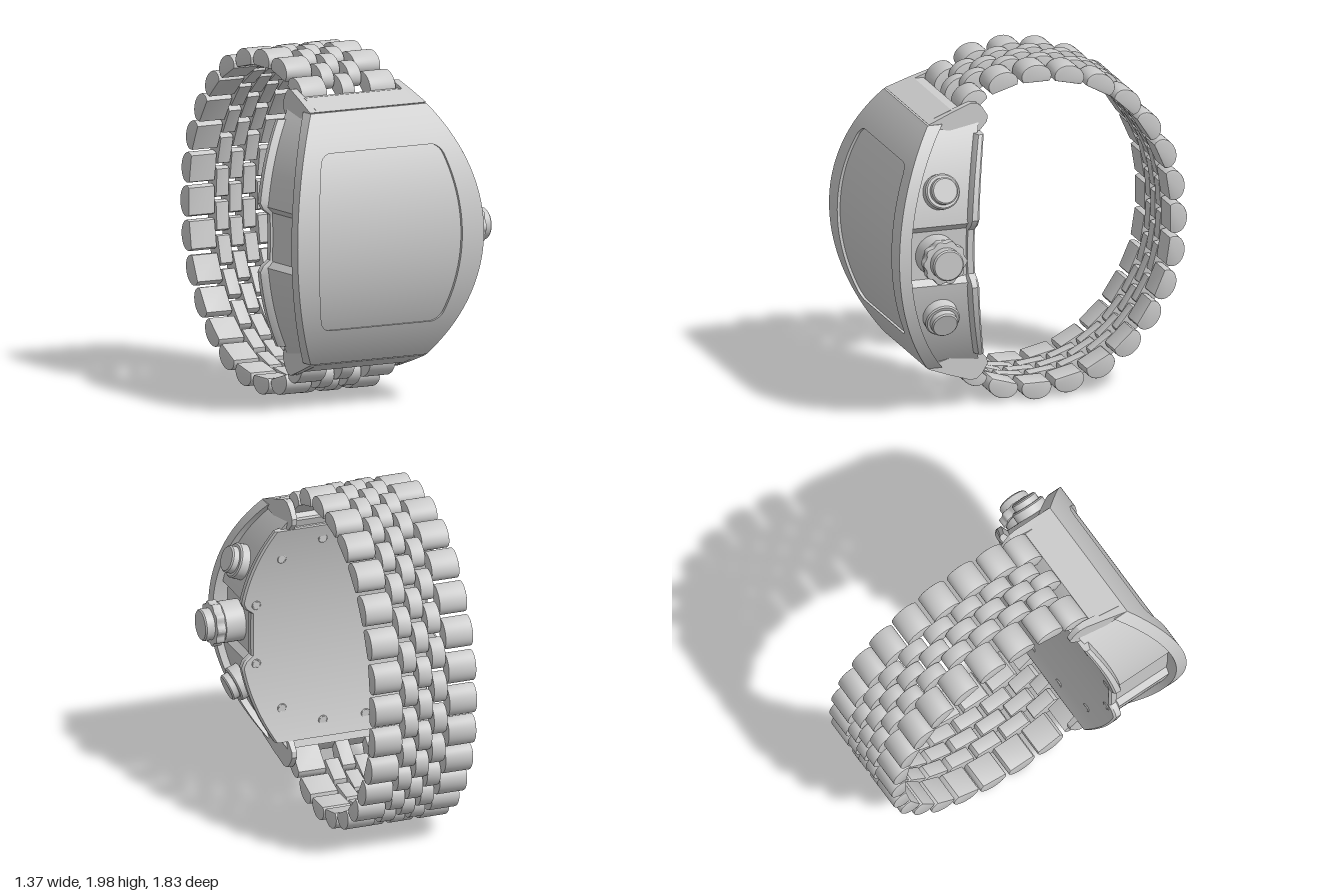
import * as THREE from 'three';
import { toCreasedNormals } from 'three/addons/utils/BufferGeometryUtils.js';

const material = new THREE.MeshStandardMaterial({ color: 0xcccccc, side: THREE.DoubleSide });

// Drop of a circular arc of radius r at distance d from its crown.
const sag = (r, d) => r - Math.sqrt(r * r - d * d);
const halfWidth = d => 0.612 - sag(1.233, d);
const frontZ = d => 0.915 - sag(1.17, d);
const bezelBackZ = d => 0.845 - sag(1.11, d);
const flangeZ = d => 0.495 - sag(2.06, d);
const backZ = d => 0.437 - sag(2.3, d);
// Flat pocket in the case side, around the crown
const notch = (d, inset, depth) => {
  const flat = halfWidth(0) - inset - depth;
  const t = THREE.MathUtils.clamp((Math.abs(d) - 0.14) / 0.035, 0, 1);
  return THREE.MathUtils.lerp(flat, halfWidth(d) - inset, t);
};

function part(parent, name, geometry, crease = 0.5) {
  const mesh = new THREE.Mesh(crease ? toCreasedNormals(geometry, crease) : geometry, material);
  mesh.name = name;
  parent.add(mesh);
  return mesh;
}

// Skin closed x/z sections stacked along y, with fan caps.
function loft(rows, section) {
  const pos = [], index = [];
  const n = section(rows[0]).length;
  rows.forEach(r => section(r).forEach(([x, z]) => pos.push(x, r.y ?? r, z)));
  for (let j = 0; j < rows.length - 1; j++) {
    for (let i = 0; i < n; i++) {
      const a = j * n + i, b = j * n + (i + 1) % n;
      index.push(a, b, b + n, a, b + n, a + n);
    }
  }
  const top = (rows.length - 1) * n;
  for (let i = 1; i < n - 1; i++) {
    index.push(0, i + 1, i, top, top + i, top + i + 1);
  }
  const g = new THREE.BufferGeometry();
  g.setAttribute('position', new THREE.Float32BufferAttribute(pos, 3));
  g.setIndex(index);
  return g;
}

const range = (a, b, n) => Array.from({ length: n + 1 }, (_, i) => a + (b - a) * i / n);

// Extrude a side profile of [z, y] points from x0 to x1.
function prism(points, x0, x1) {
  const shape = new THREE.Shape(points.map(p => new THREE.Vector2(...p)));
  return new THREE.ExtrudeGeometry(shape, { depth: x1 - x0, bevelEnabled: false })
    .rotateY(-Math.PI / 2).translate(x1, 0, 0);
}

function buildCase(watch) {
  // Bezel with the recessed, round-cornered screen
  const edge = 0.508, r = 0.055;
  const screenHalf = d => {
    const t = Math.max(0, Math.min(Math.abs(d), edge) - (edge - r));
    return 0.47 - sag(1.56, Math.min(Math.abs(d), edge)) - sag(r, Math.min(t, r));
  };
  const corner = range(0, Math.PI / 2, 8).map(a => edge - r + r * Math.sin(a));
  const inside = [...corner.map(d => -d).reverse(), ...range(-0.44, 0.44, 32), ...corner];
  const row = depth => y => ({ y, depth });
  const rows = [...range(-0.72, -edge, 8).map(row(0)), ...inside.map(row(0.017)),
    ...range(edge, 0.72, 8).map(row(0))];
  part(watch, 'bezelAndScreen', loft(rows, ({ y, depth }) => {
    const w = halfWidth(y), s = screenHalf(y), f = frontZ(y), b = bezelBackZ(y);
    return [[-w, b], [-w, f], [-s, f], [-s, f - depth], [s, f - depth], [s, f], [w, f], [w, b]];
  }));

  // Case band
  const sides = [...range(-0.7, -0.175, 14), ...range(-0.14, 0.14, 6), ...range(0.175, 0.7, 14)];
  part(watch, 'caseBand', loft(sides, d => {
    const w = notch(d, 0.043, 0.045), f = bezelBackZ(d) + 0.01, b = flangeZ(d) - 0.02;
    return [[-w, b], [-w, f], [w, f], [w, b]];
  }));

  // Back plate with its flared rim
  part(watch, 'backPlate', loft(sides.map(d => d * 0.93), d => {
    const w = notch(d, 0, 0.075), f = flangeZ(d), b = backZ(d);
    return [[-w + 0.012, b], [-w, b + 0.012], [-w, f - 0.012], [-w + 0.045, f + 0.005],
      [w - 0.045, f + 0.005], [w, f - 0.012], [w, b + 0.012], [w - 0.012, b]];
  }));

  // Back screws
  for (const sx of [-1, 1]) for (const sy of [-1, 1]) {
    for (const [x, y] of [[0.13, 0.56], [0.37, 0.46], [0.51, 0.18]]) {
      const screw = new THREE.Group();
      screw.name = 'backScrew';
      part(screw, 'screwRim', new THREE.TorusGeometry(0.023, 0.005, 6, 20), 0);
      part(screw, 'screwHead', new THREE.CylinderGeometry(0.02, 0.02, 0.008, 20).rotateX(Math.PI / 2));
      screw.position.set(sx * x, sy * y, backZ(y));
      watch.add(screw);
    }
  }
}

// Lug piece for the top; the bottom one is the same piece turned over.
function buildLugs(watch) {
  const horn = [[0.66, 0.725], [0.53, 0.775], [0.40, 0.82], [0.36, 0.815], [0.33, 0.79],
    [0.295, 0.735], [0.30, 0.70], [0.36, 0.635], [0.40, 0.645], [0.60, 0.69]];
  const bridge = [[0.66, 0.725], [0.51, 0.785], [0.45, 0.78], [0.385, 0.70], [0.36, 0.64], [0.60, 0.66]];
  for (const turn of [0, Math.PI]) {
    const lug = new THREE.Group();
    lug.name = turn ? 'bottomLugs' : 'topLugs';
    part(lug, 'lugBridge', prism(bridge, -0.33, 0.33), 0.3);
    for (const side of [-1, 1]) {
      const g = prism(horn, side < 0 ? -0.38 : 0.315, side < 0 ? -0.315 : 0.38);
      const p = g.attributes.position;
      // Taper the outer face toward the tip
      for (let i = 0; i < p.count; i++) {
        if (Math.abs(p.getX(i)) > 0.35) p.setX(i, side * (0.381 - 0.1 * (0.66 - p.getZ(i))));
      }
      part(lug, 'lugHorn', g, 0.5);
    }
    lug.rotation.z = turn;
    watch.add(lug);
  }
}

// Round stem along +x from x0 to x1, with softened outer rim
function knob(radius, x0, x1) {
  const c = 0.008;
  const pts = [[0, x0], [radius, x0], [radius, x1 - c], [radius - c, x1], [0, x1]];
  return new THREE.LatheGeometry(pts.map(p => new THREE.Vector2(...p)), 40).rotateZ(-Math.PI / 2);
}

function buildControls(watch) {
  // Crown with a fluted grip
  const crown = new THREE.Group();
  crown.name = 'crown';
  part(crown, 'crownTube', knob(0.12, 0.5, 0.65));
  const outline = range(0, Math.PI * 2, 96).slice(0, -1).map(a => {
    const rad = 0.125 + 0.007 * Math.cos(10 * a);
    return new THREE.Vector2(rad * Math.cos(a), rad * Math.sin(a));
  });
  part(crown, 'crownGrip', new THREE.ExtrudeGeometry(new THREE.Shape(outline), {
    depth: 0.044, bevelThickness: 0.005, bevelSize: 0.005, bevelOffset: -0.005, bevelSegments: 2,
  }).rotateY(Math.PI / 2).translate(0.652, 0, 0));
  part(crown, 'crownCap', knob(0.092, 0.69, 0.757));
  crown.position.z = 0.67;
  watch.add(crown);

  // Pushers, square to the curved case side
  for (const s of [-1, 1]) {
    const pusher = new THREE.Group();
    pusher.name = s > 0 ? 'upperPusher' : 'lowerPusher';
    part(pusher, 'pusherCollar', knob(0.102, -0.12, 0));
    part(pusher, 'pusherCap', knob(0.078, -0.02, 0.042));
    pusher.position.set(0.57, s * 0.385, 0.64);
    pusher.rotation.z = s * 0.36;
    watch.add(pusher);
  }
}

function buildBracelet(watch) {
  // Inner line of the bracelet in the y/z plane, mirrored top to bottom
  const half = [[0.36, 0.76], [0.28, 0.82], [0.14, 0.873], [-0.06, 0.887], [-0.29, 0.84], [-0.45, 0.755],
    [-0.58, 0.64], [-0.685, 0.49], [-0.765, 0.325], [-0.803, 0.14]];
  const lower = half.map(([z, y]) => [z, -y]).reverse();
  const path = new THREE.CatmullRomCurve3(
    [...half, [-0.81, 0], ...lower].map(([z, y]) => new THREE.Vector3(0, y, z)));
  path.arcLengthDivisions = 600;

  // Link: flat inside, domed outside
  const linkGeometry = width => {
    const shape = new THREE.Shape();
    shape.moveTo(-0.075, 0.006);
    shape.lineTo(0.075, 0.006);
    shape.bezierCurveTo(0.105, 0.05, 0.06, 0.097, 0, 0.097);
    shape.bezierCurveTo(-0.06, 0.097, -0.105, 0.05, -0.075, 0.006);
    const b = 0.005;
    const g = new THREE.ExtrudeGeometry(shape, {
      depth: width - 2 * b, curveSegments: 12, bevelThickness: b, bevelSize: b, bevelSegments: 2,
    });
    return toCreasedNormals(g.translate(0, 0, b - width / 2), 0.5);
  };
  const outer = linkGeometry(0.168), inner = linkGeometry(0.083);
  const columns = [[-0.225, outer, 0], [-0.0885, inner, 0.5], [0, inner, 0], [0.0885, inner, 0.5], [0.225, outer, 0]];

  const length = path.getLength(), pitch = (length - 0.04) / 18;
  const bracelet = new THREE.Group();
  bracelet.name = 'bracelet';
  for (const [x, geometry, shift] of columns) {
    for (let k = 0; k + shift <= 18; k++) {
      const u = (0.02 + (k + shift) * pitch) / length;
      const t = path.getTangentAt(u), side = new THREE.Vector3(1, 0, 0);
      const out = new THREE.Vector3().crossVectors(side, t);
      const link = part(bracelet, geometry === outer ? 'outerLink' : 'innerLink', geometry, 0);
      link.quaternion.setFromRotationMatrix(new THREE.Matrix4().makeBasis(t, out, side));
      link.position.copy(path.getPointAt(u)).setX(x);
    }
  }
  watch.add(bracelet);
}

export function createModel() {
  const model = new THREE.Group();
  model.name = 'wristwatch';
  const watch = new THREE.Group();
  watch.name = 'watch';
  watch.position.set(-0.075, 1.01, 0);
  buildCase(watch);
  buildLugs(watch);
  buildControls(watch);
  buildBracelet(watch);
  model.add(watch);
  return model;
}
